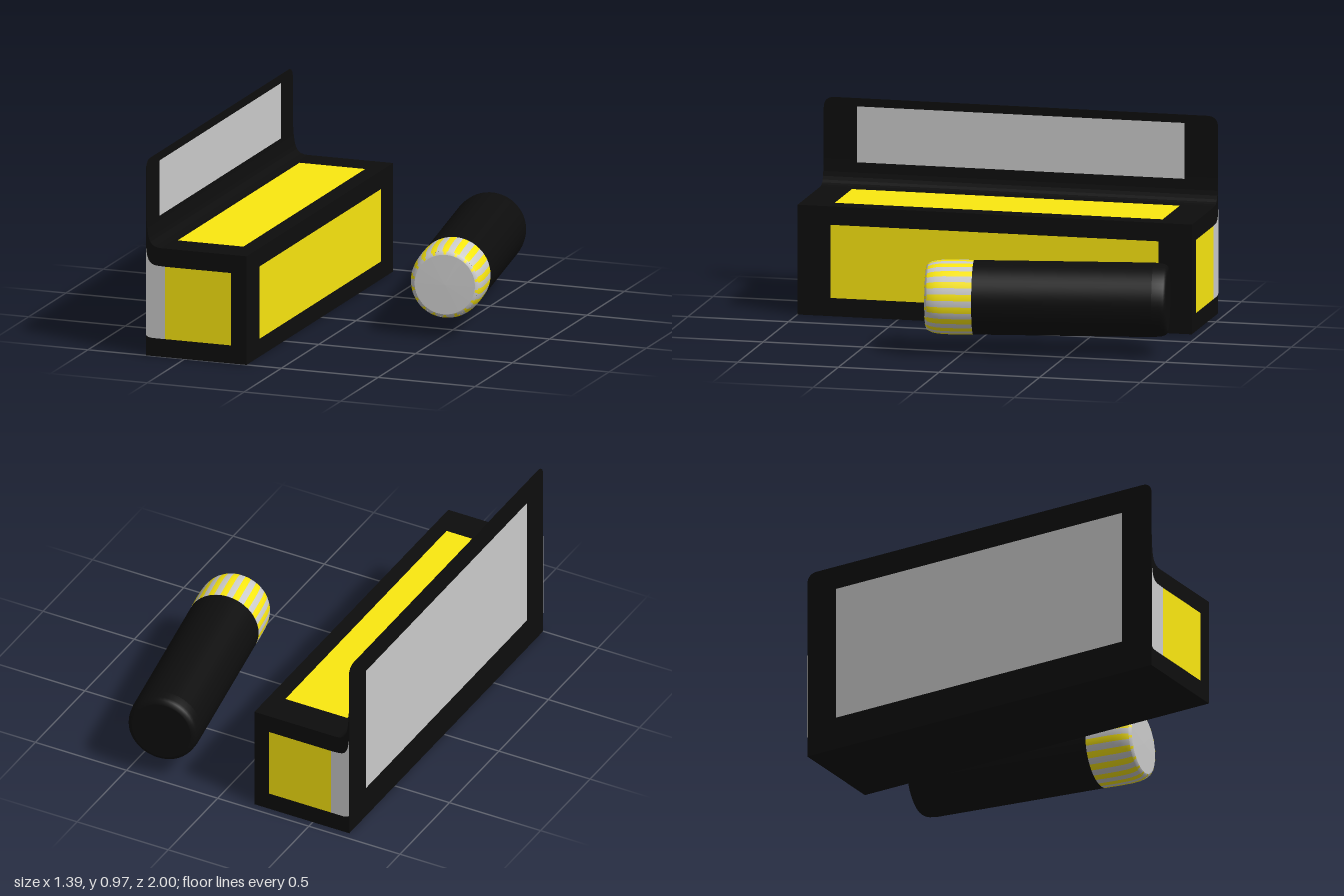
import * as THREE from 'three';

const mat = (color) => new THREE.MeshStandardMaterial({ color, side: THREE.DoubleSide });
const BLACK = mat(0x0d0d0d), YELLOW = mat(0xfbe810), GREY = mat(0xcccccc);

// Carton extents
const X0 = -0.7, X1 = -0.18, H = 0.54, Z0 = -0.96, Z1 = 1, FLAP = 0.97;
const LIFT = 0.002; // printed panels sit just proud of the card

function add(group, name, geometry, material) {
  const mesh = new THREE.Mesh(geometry, material);
  mesh.name = name;
  group.add(mesh);
  return mesh;
}

// Flat rectangle facing +x, -x, +y or -y, spanning the z range of the printed panels
function sidePanel(group, name, material, axis, sign, at, lo, hi, z0 = -0.795, z1 = 0.835) {
  const geo = new THREE.PlaneGeometry(axis === 'x' ? z1 - z0 : hi - lo, axis === 'x' ? hi - lo : z1 - z0);
  const mid = (lo + hi) / 2, zm = (z0 + z1) / 2;
  if (axis === 'x') geo.rotateY(sign * Math.PI / 2).translate(at + sign * LIFT, mid, zm);
  else geo.rotateX(-sign * Math.PI / 2).translate(mid, at + sign * LIFT, zm);
  add(group, name, geo, material);
}

function createCarton() {
  const carton = new THREE.Group();
  carton.name = 'carton';

  // Box section, with the lid sweeping up into the raised flap
  const section = new THREE.Shape();
  section.moveTo(X0, 0);
  section.lineTo(X1, 0);
  section.lineTo(X1, H);
  section.lineTo(-0.62, H);
  section.bezierCurveTo(-0.69, H, -0.695, 0.58, X0 + 0.001, 0.76);
  section.lineTo(X0, 0.76);
  section.closePath();
  const body = new THREE.ExtrudeGeometry(section, { depth: Z1 - Z0, bevelEnabled: false, curveSegments: 10 });
  body.translate(0, 0, Z0);
  add(carton, 'boxBody', body, BLACK);

  // Thin back card with rounded upper corners
  const r = 0.055, card = new THREE.Shape();
  card.moveTo(-Z1, 0);
  card.lineTo(-Z0, 0);
  card.lineTo(-Z0, FLAP - r);
  card.quadraticCurveTo(-Z0, FLAP, -Z0 - r, FLAP);
  card.lineTo(-Z1 + r, FLAP);
  card.quadraticCurveTo(-Z1, FLAP, -Z1, FLAP - r);
  card.closePath();
  const flap = new THREE.ExtrudeGeometry(card, { depth: 0.002, bevelEnabled: false });
  flap.rotateY(Math.PI / 2).translate(X0, 0, 0);
  add(carton, 'raisedFlap', flap, BLACK);

  // Long printed panels
  sidePanel(carton, 'sidePanel', YELLOW, 'x', 1, X1, 0.09, 0.45);
  sidePanel(carton, 'topPanel', YELLOW, 'y', 1, H, -0.6, -0.26);
  sidePanel(carton, 'bottomPanel', GREY, 'y', -1, 0.003, X0, -0.26);
  sidePanel(carton, 'flapPanel', GREY, 'x', 1, X0 + 0.003, 0.62, 0.93);
  sidePanel(carton, 'backPanel', GREY, 'x', -1, X0, 0.165, 0.85);

  // End panels: yellow window and a grey strip that flares at the back edge
  const strip = new THREE.Shape();
  strip.moveTo(-0.6, 0.09);
  strip.lineTo(-0.6, 0.45);
  strip.lineTo(-0.64, 0.452);
  strip.bezierCurveTo(-0.685, 0.455, -0.695, 0.48, X0, 0.56);
  strip.lineTo(X0, 0.105);
  strip.quadraticCurveTo(-0.695, 0.09, -0.66, 0.09);
  strip.closePath();
  for (const [side, z] of [['front', Z1 + LIFT], ['back', Z0 - LIFT]]) {
    add(carton, side + 'EndStrip', new THREE.ShapeGeometry(strip), GREY).position.z = z;
    const windowPane = new THREE.PlaneGeometry(0.34, 0.36);
    if (side === 'back') windowPane.rotateY(Math.PI);
    add(carton, side + 'EndPanel', windowPane, YELLOW).position.set(-0.43, 0.27, z);
  }
  return carton;
}

const lathe = (pts, seg, start = 0, len = Math.PI * 2) =>
  new THREE.LatheGeometry(pts.map(([r, y]) => new THREE.Vector2(r, y)), seg, start, len);

function createTube() {
  const tube = new THREE.Group();
  tube.name = 'tube';

  // Black barrel with a softly rounded closed end
  add(tube, 'barrel', lathe([
    [0, 0], [0.15, 0], [0.15, 0], [0.163, 0.004], [0.171, 0.014], [0.176, 0.03], [0.18, 0.07], [0.18, 0.07], [0.18, 0.94],
  ], 48), BLACK);

  // Striped band; the yellow stripes reach over the rounded shoulder as tips
  const band = [[0.18, 0.94], [0.181, 1.02], [0.18, 1.08], [0.177, 1.115], [0.171, 1.142], [0.163, 1.158]];
  const COUNT = 18, step = Math.PI / COUNT;
  for (let i = 0; i < COUNT * 2; i++) {
    const yellow = i % 2 === 0;
    add(tube, yellow ? 'yellowStripe' : 'greyStripe', lathe(band, 4, (i - 0.5) * step, step), yellow ? YELLOW : GREY);
    if (yellow) {
      const tip = lathe([[0.163, 1.159], [0.157, 1.166], [0.15, 1.17]], 4, (i - 0.25) * step, step / 2);
      add(tube, 'stripeTip', tip, YELLOW);
    }
  }

  // Grey end disc
  add(tube, 'endDisc', lathe([[0.163, 1.158], [0.157, 1.165], [0.148, 1.169], [0.148, 1.169], [0, 1.172]], 72), GREY);

  // Lay the tube down and turn it slightly
  tube.rotation.set(Math.PI / 2, THREE.MathUtils.degToRad(10), 0, 'YXZ');
  tube.position.set(0.325, 0.27, -0.97);
  return tube;
}

export function createModel() {
  const model = new THREE.Group();
  model.name = 'cartonAndTube';
  model.add(createCarton(), createTube());
  return model;
}
